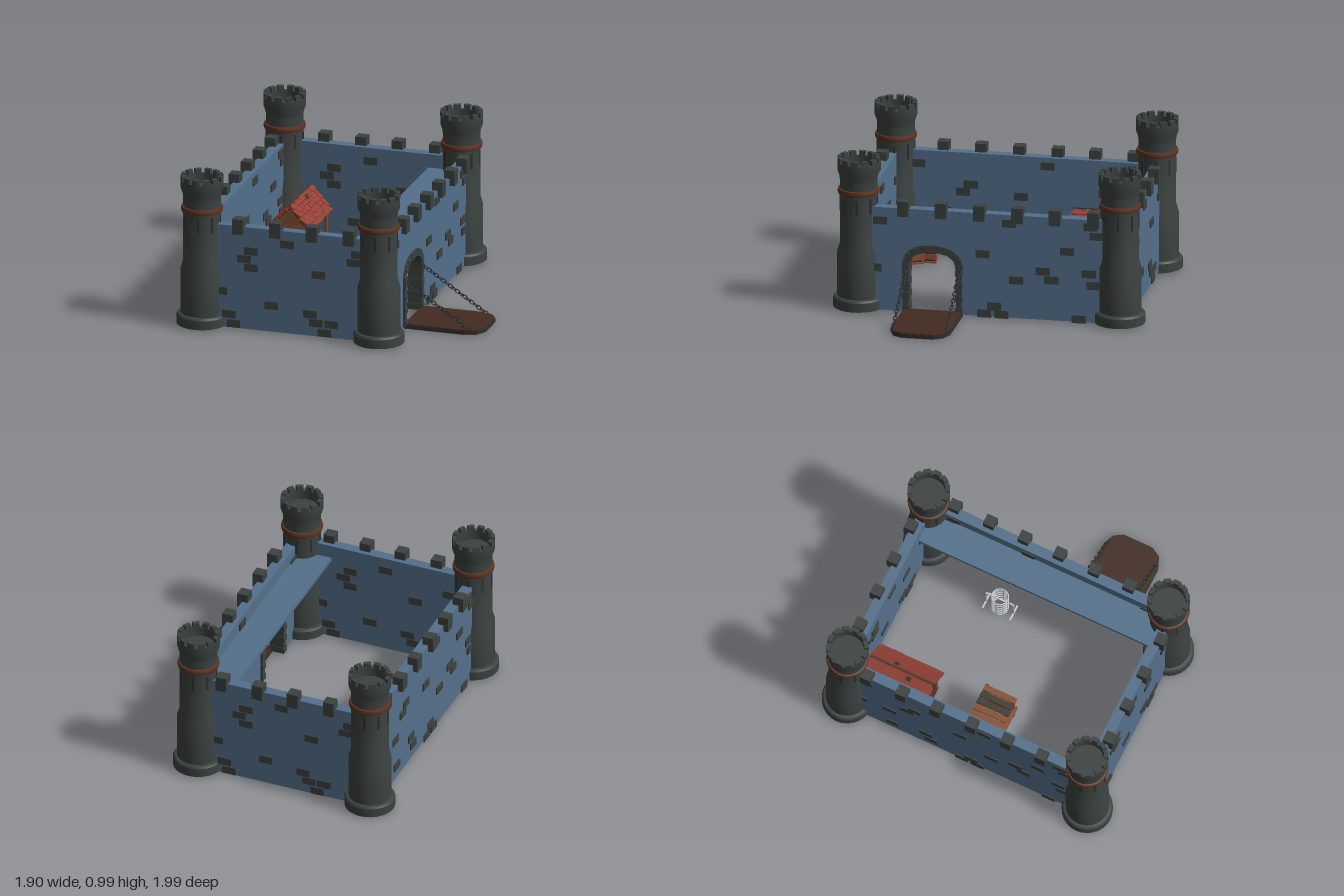
import * as THREE from 'three';
import { mergeGeometries, toCreasedNormals } from 'three/addons/utils/BufferGeometryUtils.js';

const material = (name, color) => Object.assign(new THREE.MeshStandardMaterial({ color }), { name });

// Box geometry placed by centre, with optional turns about y and z
function box(w, h, d, x, y, z, ry = 0, rz = 0) {
  return new THREE.BoxGeometry(w, h, d).rotateZ(rz).rotateY(ry).translate(x, y, z);
}

// Merge pieces into one named mesh
function part(parent, name, mat, geos) {
  const flat = geos.map(g => (g.index ? g.toNonIndexed() : g));
  const mesh = new THREE.Mesh(mergeGeometries(flat), mat);
  mesh.name = name;
  parent.add(mesh);
}

function group(parent, name, x = 0, y = 0, z = 0, ry = 0) {
  const g = new THREE.Group();
  g.name = name;
  g.position.set(x, y, z);
  g.rotation.y = ry;
  parent.add(g);
  return g;
}

// Small seeded generator
function seeded(seed) {
  return () => (seed = (seed * 16807) % 2147483647) / 2147483647;
}

export function createModel() {
  const root = new THREE.Group();
  root.name = 'castle';
  const blue = material('blue wall', 0x54708b);
  const stone = material('dark stone', 0x3b4240);
  const base = material('tower underside', 0xbcbcb6);
  const copper = material('copper band', 0x5c3323);
  const wood = material('wood', 0x865033);
  const darkWood = material('dark wood', 0x422a20);
  const plank = material('weathered plank', 0x403b31);
  const tile = material('roof tile', 0x944035);
  const iron = material('iron', 0x2c302f);
  const steel = material('light steel', 0xc8ccce);
  const rand = seeded(77);

  // Towers: stepped shaft with an open, crenellated top
  const profile = [[0, .012], [.16, .012], [.16, .07], [.152, .082], [.135, .085], [.135, .37], [.118, .43],
    [.118, .84], [.12, .865], [.134, .905], [.134, .96], [.106, .96], [.106, .9], [0, .9]]
    .map(p => new THREE.Vector2(...p));
  for (const x of [-.79, .375]) for (const z of [-.835, .835]) {
    const t = group(root, 'tower', x, 0, z);
    part(t, 'towerShaft', stone, [toCreasedNormals(new THREE.LatheGeometry(profile, 28), .5)]);
    part(t, 'towerUnderside', base, [new THREE.CircleGeometry(.16, 28).rotateX(Math.PI / 2).translate(0, .009, 0)]);
    part(t, 'towerBand', copper, [toCreasedNormals(new THREE.LatheGeometry(
      [[.115, .752], [.129, .755], [.133, .771], [.129, .788], [.115, .791]].map(p => new THREE.Vector2(...p)), 28), .5)]);
    const teeth = [], slits = [];
    for (let i = 0; i < 12; i++) {
      const a = i * Math.PI / 6, w = .18, s = new THREE.Shape();
      s.absarc(0, 0, .134, a - w, a + w, false);
      s.absarc(0, 0, .106, a + w, a - w, true);
      teeth.push(new THREE.ExtrudeGeometry(s, { depth: .032, bevelEnabled: false, curveSegments: 3 })
        .rotateX(-Math.PI / 2).translate(0, .958, 0));
    }
    for (let i = 0; i < 8; i++) {
      slits.push(box(.014, .1, .008, 0, .685, .117).rotateY(i * Math.PI / 4 + .1));
    }
    part(t, 'towerMerlons', stone, teeth);
    part(t, 'arrowSlits', iron, slits);
  }

  // Walls: local +z faces outward; bricks are given as [along, height]
  const shortBricks = [[-.455, .53], [-.5, .475], [-.455, .42], [-.215, .6], [-.01, .42], [-.32, .185], [-.065, .155],
    [-.025, .1], [.075, .1], [.03, .04], [.22, .525], [.25, .58], [-.6, .1], [-.57, .04], [-.655, .25]]
    .map(([x, y]) => [x + .21, y]);
  const longBricks = [[-.685, .6], [.14, .63], [.51, .47], [-.03, .42], [.355, .33], [.41, .275], [.185, .26],
    [.045, .08], [.09, .03], [-.02, .03], [.585, .03], [.65, .33], [.68, .255], [.7, .58], [.66, .64], [-.72, .29]];
  const plainSide = [[-.27, .17], [-.235, .1], [-.5, .1], [-.4, .43], [-.35, .48], [-.52, .3]];
  const shortMerlons = [-.325, -.08, .16, .405], longMerlons = [-.68, -.435, -.195, .05, .295, .535];
  const archPoint = (t, grow = 0) => {
    const c = Math.cos(t), s = Math.sin(t);
    const f = v => Math.sign(v) * Math.abs(v) ** .8;
    return [-.35 + f(c) * (.155 + grow), .3 + f(s) * (.115 + grow)];
  };

  function wall(name, length, x, z, ry, flip, merlons, bricks, gate) {
    const g = group(root, name, x, 0, z, ry), h = length / 2, s = new THREE.Shape();
    s.moveTo(-h, .012);
    if (gate) {
      s.lineTo(-.505, .012);
      for (let i = 16; i >= 0; i--) s.lineTo(...archPoint(i * Math.PI / 16));
      s.lineTo(-.195, .012);
    }
    s.lineTo(h, .012).lineTo(h, .685).lineTo(-h, .685);
    part(g, name + 'Body', blue, [new THREE.ExtrudeGeometry(s, { depth: .066, bevelEnabled: false }).translate(0, 0, -.033)]);
    part(g, name + 'Merlons', stone, merlons.map(m => box(.072, .1, .07, m * flip, .69, .03)));
    const plates = [];
    for (const [u, y] of bricks) {
      plates.push(box(.09, .05, .02, u, y, .031));
      const inside = gate ? u : -u;
      if (Math.abs(inside) < h - .13) plates.push(box(.09, .05, .02, inside, y, -.031));
    }
    part(g, name + 'Bricks', stone, plates);
  }
  wall('frontWall', 1.16, -.21, .84, 0, 1, shortMerlons, shortBricks, false);
  wall('backWall', 1.16, -.21, -.84, Math.PI, -1, shortMerlons, shortBricks, false);
  wall('leftHandWall', 1.67, .405, 0, Math.PI / 2, -1, longMerlons, longBricks, true);
  wall('rightHandWall', 1.67, -.795, 0, -Math.PI / 2, 1, longMerlons, [...longBricks, ...plainSide], false);

  // Walkway behind the gate wall
  part(root, 'walkway', blue, [box(.215, .025, 1.62, .272, .585, 0)]);

  // Gate surround: jamb blocks and arch stones
  const gate = group(root, 'gateSurround', .405, 0, 0, Math.PI / 2), stones = [];
  for (const side of [-1, 1]) for (let i = 0; i < 7; i++) {
    stones.push(box(i % 2 ? .038 : .046, .04, i % 2 ? .092 : .1, -.35 + side * .17, .035 + i * .041, 0));
  }
  const archStones = 14;
  for (let i = 0; i < archStones; i++) {
    const [u, y] = archPoint(i * Math.PI / archStones, .017);
    const [u2, y2] = archPoint((i + 1) * Math.PI / archStones, .017);
    stones.push(box(Math.hypot(u2 - u, y2 - y), .046, i % 2 ? .1 : .092, (u + u2) / 2, (y + y2) / 2, 0, 0,
      Math.atan2(y2 - y, u2 - u)));
  }
  part(gate, 'gateStones', stone, stones);

  // Drawbridge deck with clipped outer corners, iron rim and planked underside
  const deckShape = k => new THREE.Shape([[.44, .155 + k], [.84, .155 + k], [.915, .185 + k], [.95 - k, .245],
    [.95 - k, .445], [.915, .505 - k], [.84, .535 - k], [.44, .535 - k]].map(([x, z]) => new THREE.Vector2(x, -z)));
  const deck = (k, y, d) => new THREE.ExtrudeGeometry(deckShape(k), { depth: d, bevelEnabled: false })
    .rotateX(-Math.PI / 2).translate(0, y, 0);
  part(root, 'drawbridgeRim', iron, [deck(0, .004, .024)]);
  part(root, 'drawbridgeDeck', darkWood, [deck(.006, .01, .022)]);
  part(root, 'drawbridgeUnderside', wood, [deck(.004, 0, .006)]);

  // Drawbridge chains: alternating oval links
  const links = [], slope = Math.atan2(.275, .42);
  for (const z of [.175, .515]) for (let i = 0; i < 19; i++) {
    const k = i / 18;
    links.push(new THREE.TorusGeometry(.0115, .0034, 5, 10).scale(1.4, 1, 1).rotateX(i % 2 ? Math.PI / 2 : 0)
      .rotateZ(-slope).translate(.445 + .42 * k, .308 - .275 * k, z));
  }
  part(root, 'drawbridgeChains', iron, links);

  // Open stable with a shingled gable roof
  const stable = group(root, 'stable', -.595, 0, -.55), frame = [], shingles = [];
  const pitch = Math.atan2(.15, .14);
  for (const x of [-.11, .11]) {
    for (const z of [-.18, 0, .18]) frame.push(box(.022, .26, .022, x, .14, z));
    frame.push(box(.022, .022, .4, x, .265, 0), box(.014, .025, .38, x, .1, 0));
  }
  for (const z of [-.18, .18]) {
    frame.push(box(.24, .022, .022, 0, .265, z), box(.02, .12, .02, 0, .335, z));
    const gable = new THREE.Shape([[-.11, .27], [.11, .27], [0, .385]].map(p => new THREE.Vector2(...p)));
    frame.push(new THREE.ExtrudeGeometry(gable, { depth: .01, bevelEnabled: false }).translate(0, 0, z - .005));
  }
  for (let i = 0; i < 4; i++) frame.push(box(.01, .042, .36, -.118, .05 + i * .055, 0));
  for (const s of [-1, 1]) for (let r = 0; r < 6; r++) for (let c = 0; c < 11; c++) {
    const k = (r + .5) / 6, z = -.2 + c * .04 + (r % 2 ? .006 : -.006);
    shingles.push(box(.042 + rand() * .008, .011, .038, s * .137 * k, .414 - .15 * k + rand() * .006, z, 0, -s * (pitch - .24)));
  }
  part(stable, 'stableFrame', wood, frame);
  part(stable, 'stableFloor', darkWood, [box(.25, .014, .39, 0, .02, 0)]);
  part(stable, 'roofBoards', darkWood, [-1, 1].map(s => box(.19, .008, .42, s * .067, .325, 0, 0, -s * pitch)));
  part(stable, 'roofTiles', tile, shingles);
  part(stable, 'roofRidge', plank, [box(.012, .012, .43, 0, .42, 0),
    box(.03, .008, .035, -.03, .397, .06, 0, pitch), box(.03, .008, .035, .03, .397, -.05, 0, -pitch)]);

  // Market stall with slatted sides and roof
  const stall = group(root, 'marketStall', -.527, 0, .055), slats = [], oldSlats = [];
  for (const x of [-.095, .095]) for (const z of [-.09, .09]) slats.push(box(.018, .27, .018, x, .147, z));
  for (let i = 0; i < 4; i++) {
    const y = .04 + i * .045;
    slats.push(box(.2, .036, .01, 0, y, -.095));
    for (const x of [-.1, .1]) slats.push(box(.01, .036, .19, x, y, 0));
  }
  slats.push(box(.22, .014, .06, 0, .15, .085));
  for (let i = 0; i < 5; i++) {
    (i === 2 || i === 3 ? oldSlats : slats).push(box(.039, .01, .22 + rand() * .012, -.092 + i * .0465, .295, 0));
  }
  oldSlats.push(box(.23, .014, .016, .01, .28, -.1), box(.2, .014, .016, 0, .28, .09));
  part(stall, 'stallPlanks', wood, slats);
  part(stall, 'stallOldPlanks', plank, oldSlats);

  // Crates with framed edges
  function crate(x, y, z, size, ry) {
    const g = group(root, 'crate', x, y, z, ry), h = size / 2, bars = [];
    for (const a of [-h, h]) for (const b of [-h, h]) {
      bars.push(box(size + .01, .012, .012, 0, a, b), box(.012, size + .01, .012, a, 0, b), box(.012, .012, size + .01, a, b, 0));
    }
    for (const s of [-1, 1]) {
      bars.push(box(size, size * .5, .01, 0, 0, s * h), box(.01, size * .5, size, s * h, 0, 0), box(size, .01, size * .6, 0, s * h, 0));
    }
    part(g, 'crateFrame', wood, bars);
    part(g, 'crateBody', darkWood, [box(size - .006, size - .006, size - .006, 0, 0, 0)]);
  }
  crate(-.595, .053, .575, .07, .08);
  crate(-.555, .055, .665, .075, .5);
  crate(-.575, .13, .625, .06, .6);

  // Round steel cage with two side stands, under the walkway
  const cage = group(root, 'steelCage', .182, 0, -.245), wires = [];
  for (let i = 0; i < 6; i++) {
    wires.push(new THREE.TorusGeometry(.053, .0045, 6, 20).rotateX(Math.PI / 2).translate(0, .025 + i * .035, 0));
  }
  for (let i = 0; i < 8; i++) {
    wires.push(box(.008, .18, .008, .053, .112, 0).rotateY(i * Math.PI / 4));
  }
  for (const z of [-.095, .095]) {
    wires.push(box(.11, .01, .01, 0, .016, z), box(.01, .14, .01, 0, .085, z));
  }
  wires.push(box(.01, .01, .19, 0, .155, 0));
  part(cage, 'cageWires', steel, wires);

  return root;
}
